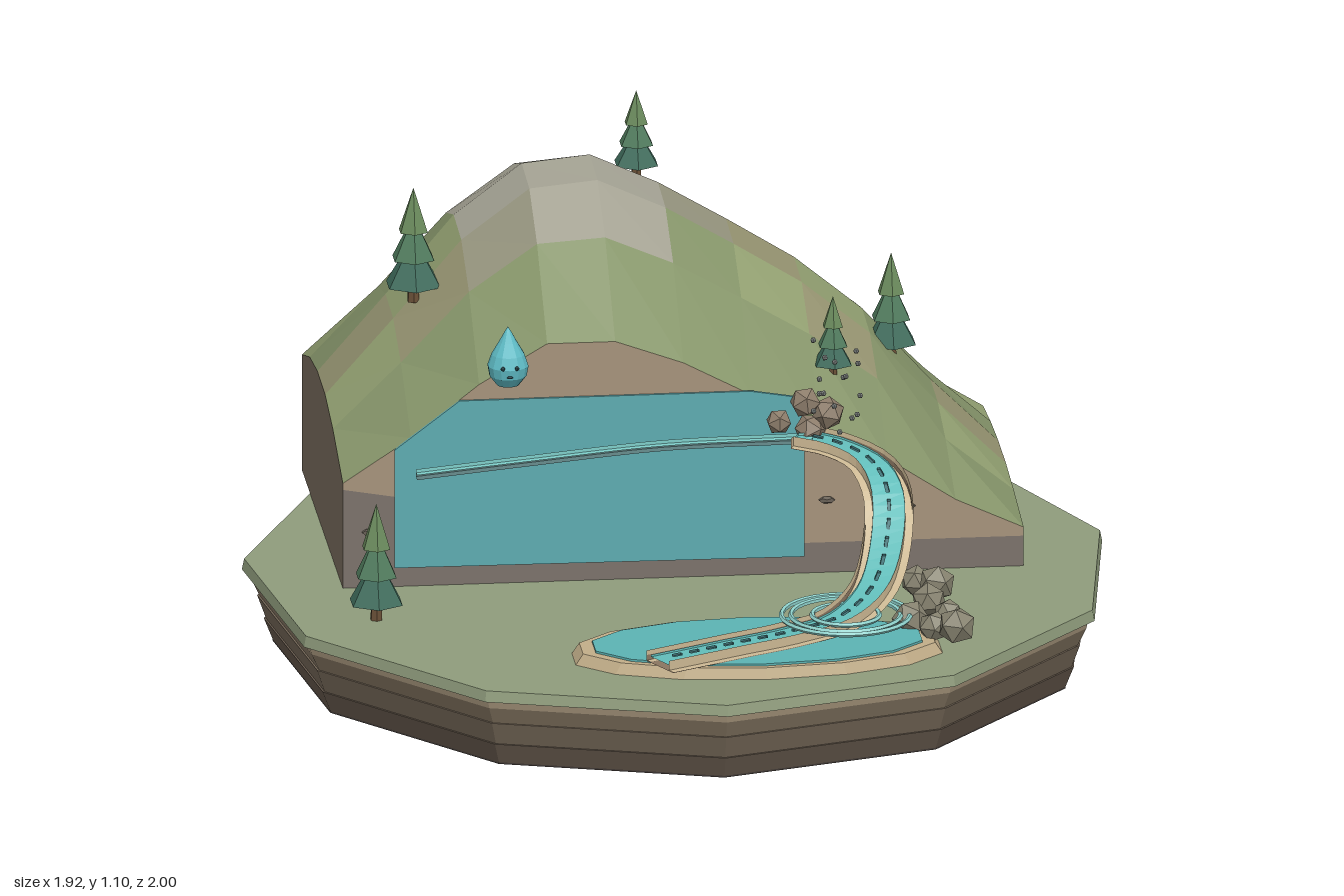
import * as THREE from 'three';

const V = (x, y, z) => new THREE.Vector3(x, y, z);
const mat = (color, extra = {}) => new THREE.MeshStandardMaterial({ color, flatShading: true, ...extra });

function add(parent, name, geo, material, x = 0, y = 0, z = 0) {
  const m = new THREE.Mesh(geo, material);
  m.name = name;
  m.position.set(x, y, z);
  parent.add(m);
  return m;
}

// Geometry from a list of four-cornered faces
function quads(list) {
  const pts = list.flatMap(([a, b, c, d]) => [a, b, c, a, c, d]);
  const g = new THREE.BufferGeometry().setFromPoints(pts);
  g.computeVertexNormals();
  return g;
}

// Rectangular section swept along a curve, between t0 and t1
function sweep(curve, s0, s1, y0, y1, n = 28, t0 = 0, t1 = 1) {
  const rings = [];
  for (let i = 0; i <= n; i++) {
    const t = t0 + (t1 - t0) * i / n;
    const p = curve.getPointAt(t), d = curve.getTangentAt(t);
    const side = V(-d.z, 0, d.x).normalize();
    const at = (s, y) => p.clone().addScaledVector(side, s).add(V(0, y, 0));
    rings.push([at(s0, y0), at(s1, y0), at(s1, y1), at(s0, y1)]);
  }
  const faces = [[...rings[0]].reverse(), rings[n]];
  for (let i = 0; i < n; i++) {
    for (let k = 0; k < 4; k++) {
      const j = (k + 1) % 4;
      faces.push([rings[i][k], rings[i][j], rings[i + 1][j], rings[i + 1][k]]);
    }
  }
  return quads(faces);
}

// Hill heights: front edge, ridge, and the blend between them per row
const X0 = -0.76, DX = 0.152, GROUND = 0.19;
const FRONT = [0.435, 0.535, 0.655, 0.745, 0.745, 0.69, 0.61, 0.53, 0.45, 0.35, 0.28];
const RIDGE = [0.525, 0.70, 0.88, 0.995, 1.01, 0.94, 0.85, 0.755, 0.63, 0.46, 0.31];
const ROWS = [[-0.78, 0.28], [-0.62, 0.79], [-0.46, 1], [-0.30, 0.97], [-0.14, 0.66], [0.07, 0]];
const hillPoint = (i, r) => V(X0 + DX * i, FRONT[i] + (RIDGE[i] - FRONT[i]) * ROWS[r][1], ROWS[r][0]);
const drop = p => V(p.x, GROUND, p.z);

function makeHill() {
  const g = new THREE.Group();
  g.name = 'hill';
  // Surface patches sorted by cover
  const covers = [0x93a172, 0x86956a, 0x979572, 0xa5a394, 0x96957f];
  const patches = covers.map(() => []);
  for (let i = 0; i < 10; i++) {
    for (let r = 0; r < 5; r++) {
      const q = [hillPoint(i, r), hillPoint(i, r + 1), hillPoint(i + 1, r + 1), hillPoint(i + 1, r)];
      const h = q.reduce((s, p) => s + p.y / 4, 0);
      const k = h > 0.9 ? 3 : h > 0.85 ? 4 : (i * 5 + r * 7 + i * r) % 3;
      patches[k].push(q);
    }
  }
  patches.forEach((p, k) => p.length && add(g, 'hillCover' + k, quads(p), mat(covers[k])));
  // Earth walls at the sides, back and underneath
  const walls = [];
  for (let r = 0; r < 5; r++) {
    const a = hillPoint(0, r), b = hillPoint(0, r + 1), c = hillPoint(10, r), d = hillPoint(10, r + 1);
    walls.push([a, drop(a), drop(b), b], [d, drop(d), drop(c), c]);
  }
  const cutHigh = [], cutLow = [];
  for (let i = 0; i < 10; i++) {
    const a = hillPoint(i, 0), b = hillPoint(i + 1, 0);
    walls.push([b, drop(b), drop(a), a]);
    const c = hillPoint(i, 5), d = hillPoint(i + 1, 5);
    const seam = p => V(p.x, Math.min(p.y, p.x < 0.1 ? 0.27 - (p.x - 0.1) * 0.174 : 0.26), p.z);
    cutHigh.push([c, seam(c), seam(d), d]);
    cutLow.push([seam(c), drop(c), drop(d), seam(d)]);
  }
  walls.push([V(-0.76, GROUND, -0.78), V(0.76, GROUND, -0.78), V(0.76, GROUND, 0.07), V(-0.76, GROUND, 0.07)]);
  add(g, 'earthWalls', quads(walls), mat(0x7e7161));
  add(g, 'upperStratum', quads(cutHigh), mat(0xa6937b));
  add(g, 'lowerStratum', quads(cutLow), mat(0x7b726b));
  // Groundwater exposed in the cut face
  const water = new THREE.Shape([[-0.645, 0.235], [0.27, 0.23], [0.27, 0.6], [0.15, 0.62], [-0.5, 0.62], [-0.645, 0.51]]
    .map(p => new THREE.Vector2(...p)));
  add(g, 'groundwater', new THREE.ExtrudeGeometry(water, { depth: 0.008, bevelEnabled: false }), mat(0x5eabb0), 0, 0, 0.068);
  // Loose stones in the cut face
  [[0.32, 0.36], [0.5, 0.34], [0.42, 0.29], [-0.7, 0.32]].forEach(([x, y]) => {
    const s = add(g, 'faceStone', new THREE.DodecahedronGeometry(0.012), mat(0x6a6258), x, y, 0.074);
    s.scale.set(1.6, 0.7, 0.8);
  });
  return g;
}

function makeTree(x, y, z, h, r) {
  const g = new THREE.Group();
  g.name = 'tree';
  g.position.set(x, y, z);
  add(g, 'trunk', new THREE.CylinderGeometry(r * 0.17, r * 0.22, h * 0.3, 6), mat(0x6b5138), 0, h * 0.15, 0);
  [[0.15, 0.42, 1, 0x3f6c5c], [0.38, 0.38, 0.77, 0x4f7a5c], [0.62, 0.38, 0.53, 0x6a8a5c]].forEach(([b, t, w, c]) =>
    add(g, 'foliage', new THREE.ConeGeometry(r * w, h * t, 6), mat(c), 0, h * (b + t / 2), 0));
  return g;
}

function makeBase() {
  const g = new THREE.Group();
  g.name = 'base';
  g.position.z = -0.02;
  g.scale.set(0.97, 1, 1.02);
  // Stacked strata: top radius, bottom radius, bottom, top, colour
  [[0.995, 1, 0.165, 0.19, 0x8f9c7c], [0.985, 0.98, 0.145, 0.165, 0xa5947b], [0.98, 0.96, 0.105, 0.145, 0x8a7b66],
    [0.965, 0.945, 0.052, 0.105, 0x786a5a], [0.95, 0.93, 0.004, 0.052, 0x675a4d], [0.93, 0.93, 0, 0.004, 0x3d3632]]
    .forEach(([a, b, y0, y1, c]) =>
      add(g, 'stratum', new THREE.CylinderGeometry(a, b, y1 - y0, 11), mat(c), 0, (y0 + y1) / 2, 0));
  return g;
}

function makeStream() {
  const g = new THREE.Group();
  g.name = 'stream';
  const bank = mat(0xcdb994), water = mat(0x62bdba);
  // Narrow feeder line along the cut face
  const feed = new THREE.CatmullRomCurve3([V(-0.6, 0.465, 0.113), V(-0.35, 0.49, 0.117), V(-0.05, 0.517, 0.122), V(0.28, 0.528, 0.137)]);
  add(g, 'feederBed', sweep(feed, -0.013, 0.013, -0.01, 0.002), mat(0x5d7f80));
  add(g, 'feederWater', sweep(feed, -0.009, 0.009, 0, 0.008), mat(0x7fcfca));
  // Chute down to the pond and across it
  const path = new THREE.CatmullRomCurve3([
    V(0.25, 0.53, 0.13), V(0.33, 0.52, 0.165), V(0.40, 0.495, 0.22), V(0.43, 0.45, 0.30), V(0.42, 0.36, 0.39),
    V(0.38, 0.285, 0.48), V(0.30, 0.245, 0.565), V(0.19, 0.235, 0.63), V(0.04, 0.235, 0.71), V(-0.13, 0.235, 0.80)]);
  add(g, 'streamBed', sweep(path, -0.052, 0.052, -0.014, 0, 40), mat(0x8a7560));
  add(g, 'streamWater', sweep(path, -0.036, 0.036, 0, 0.005, 40), water);
  for (const s of [-1, 1]) {
    const a = s * 0.036, b = s * 0.054;
    add(g, 'streamBank', sweep(path, Math.min(a, b), Math.max(a, b), -0.012, 0.01, 40), bank);
  }
  // Flow dashes down the middle
  for (let i = 0; i < 24; i++) {
    const t = 0.03 + i * 0.04;
    add(g, 'flowDash', sweep(path, -0.004, 0.004, 0.004, 0.009, 1, t, t + 0.02), mat(0x3f7276));
  }
  return g;
}

function makePond() {
  const g = new THREE.Group();
  g.name = 'pond';
  const rim = add(g, 'pondRim', new THREE.CylinderGeometry(0.96, 1, 0.025, 14), mat(0xc2ae89), 0.105, 0.2025, 0.63);
  rim.scale.set(0.42, 1, 0.19);
  const top = add(g, 'pondWater', new THREE.CylinderGeometry(0.89, 0.89, 0.008, 14), mat(0x5cb3b3), 0.105, 0.216, 0.63);
  top.scale.set(0.42, 1, 0.19);
  // Ripples where the stream lands
  [0.075, 0.122, 0.143].forEach(r => {
    const m = add(g, 'ripple', new THREE.TorusGeometry(r, 0.006, 5, 32), mat(0x8fd2cc), 0.31, 0.25, 0.56);
    m.rotation.x = Math.PI / 2;
  });
  return g;
}

function makeDrop() {
  const g = new THREE.Group();
  g.name = 'waterDrop';
  g.position.set(-0.40, 0.725, 0.15);
  const profile = [[0, -0.052], [0.025, -0.045], [0.042, -0.023], [0.046, 0], [0.037, 0.026], [0.02, 0.055], [0.008, 0.077], [0, 0.09]];
  add(g, 'dropBody', new THREE.LatheGeometry(profile.map(p => new THREE.Vector2(...p)), 14), mat(0x5fbcc6));
  for (const s of [-1, 1]) add(g, 'eye', new THREE.SphereGeometry(0.005, 8, 6), mat(0x24444a), s * 0.016, 0.004, 0.042);
  add(g, 'mouth', new THREE.SphereGeometry(0.005, 8, 6), mat(0x24444a), 0, -0.016, 0.043).scale.set(1.4, 0.6, 1);
  return g;
}

export function createModel() {
  const model = new THREE.Group();
  model.name = 'waterCycleDiorama';
  model.add(makeBase(), makeHill(), makeStream(), makePond(), makeDrop());

  // Trees: x, foot height, z, height, radius
  [[-0.565, 0.74, -0.28, 0.265, 0.066], [-0.03, 0.9, -0.63, 0.2, 0.053], [0.51, 0.545, -0.36, 0.245, 0.06],
    [0.35, 0.6, -0.08, 0.185, 0.046], [-0.71, 0.19, 0.30, 0.27, 0.064]].forEach(t => model.add(makeTree(...t)));

  // Rocks at the spring and beside the stream: x, y, z, radius
  [[0.21, 0.555, 0.1, 0.03], [0.27, 0.595, 0.09, 0.036], [0.32, 0.57, 0.095, 0.038], [0.28, 0.535, 0.1, 0.036],
    [0.50, 0.222, 0.25, 0.036], [0.54, 0.235, 0.31, 0.042], [0.51, 0.235, 0.43, 0.04], [0.545, 0.225, 0.50, 0.034],
    [0.455, 0.235, 0.555, 0.042], [0.50, 0.235, 0.62, 0.036], [0.545, 0.255, 0.68, 0.044]].forEach(([x, y, z, r], i) => {
    const m = add(model, 'rock', new THREE.IcosahedronGeometry(r, 0), mat(i < 4 ? 0x8d7d6b : 0x878370), x, y, z);
    m.rotation.set(i, i * 1.7, i * 0.6);
  });

  // Spray rising above the spring
  for (let i = 0; i < 16; i++) {
    add(model, 'sprayDroplet', new THREE.IcosahedronGeometry(0.007, 0), mat(0x858a88),
      0.33 + 0.05 * Math.sin(i * 2.4), 0.575 + i * 0.0125, 0.205 + 0.045 * Math.cos(i * 1.9));
  }
  return model;
}
